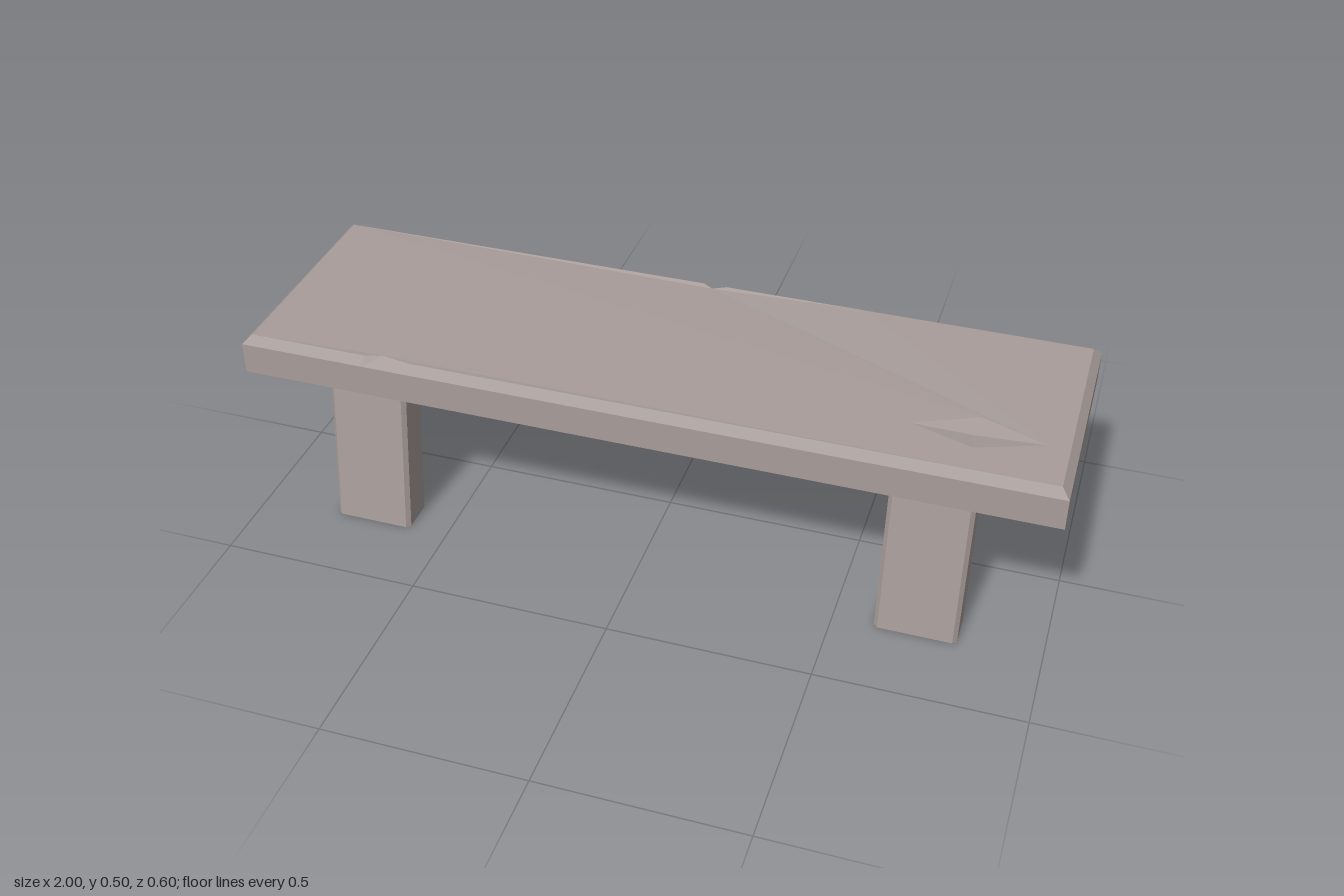
import * as THREE from 'three';

const material = new THREE.MeshStandardMaterial({ color: 0xa89d9a, flatShading: true });

// Flat-shaded geometry from a list of triangle corners
function facets(points) {
  const geometry = new THREE.BufferGeometry().setFromPoints(points);
  geometry.computeVertexNormals();
  return geometry;
}

// Bevelled plank lofted through rings, with chipped edges and a shallow dent
function seatGeometry() {
  const out = [];
  const v = (x, y, z) => new THREE.Vector3(x, y, z);

  // Outline, counter-clockwise from above; the chips need extra stations
  const outline = [
    [-1, 0.3], [-0.68, 0.3], [-0.62, 0.3], [-0.56, 0.3], [1, 0.3],
    [1, -0.3], [0.42, -0.3], [0.38, -0.3], [0.34, -0.3],
    [0.06, -0.3], [0.02, -0.3], [0, -0.3], [-1, -0.3],
  ];
  const ring = (y, inset) => outline.map(([x, z]) =>
    v(Math.abs(x) === 1 ? x * (1 - inset) : x, y, z - Math.sign(z) * inset));
  const rings = [ring(0.4, 0), ring(0.435, 0), ring(0.48, 0), ring(0.5, 0.02)];

  // Chips: front upper edge, back lower edge, back upper edge
  rings[3][2].set(-0.64, 0.498, 0.265);
  rings[0][7].z = -0.27;
  rings[2][10].set(0.02, 0.47, -0.29);
  rings[3][10].set(0.025, 0.495, -0.27);

  // Side bands
  for (let r = 0; r < rings.length - 1; r++) {
    const lower = rings[r], upper = rings[r + 1];
    lower.forEach((a, i) => {
      const j = (i + 1) % lower.length;
      out.push(a, lower[j], upper[j], a, upper[j], upper[i]);
    });
  }

  // Caps, each triangle turned to face up (1) or down (-1)
  const cap = (edge, hole, facing) => {
    const flat = (list) => list.map((p) => new THREE.Vector2(p.x, p.z));
    const all = [...edge, ...hole];
    const faces = THREE.ShapeUtils.triangulateShape(flat(edge), hole.length ? [flat(hole)] : []);
    for (const face of faces) {
      const [a, b, c] = face.map((i) => all[i]);
      const up = (b.z - a.z) * (c.x - a.x) - (b.x - a.x) * (c.z - a.z);
      if (up * facing > 0) out.push(a, b, c);
      else out.push(a, c, b);
    }
  };
  const dent = [[0.62, 0.15], [0.77, 0.2], [0.93, 0.14], [0.77, 0.08]]
    .map(([x, z]) => v(x, 0.5, z));
  cap(rings[3], dent, 1);
  cap(rings[0], [], -1);

  // Dent floor
  const low = v(0.76, 0.49, 0.14);
  dent.forEach((p, i) => out.push(p, dent[(i + 1) % 4], low));
  return facets(out);
}

// Chamfered post, leaning outward towards its foot
function legGeometry() {
  const w = 0.1, d = 0.05, c = 0.01, height = 0.4;
  const section = new THREE.Shape([
    [-w + c, -d], [w - c, -d], [w, -d + c], [w, d - c],
    [w - c, d], [-w + c, d], [-w, d - c], [-w, -d + c],
  ].map(([x, y]) => new THREE.Vector2(x, y)));
  const geometry = new THREE.ExtrudeGeometry(section, { depth: height, bevelEnabled: false });
  geometry.rotateX(-Math.PI / 2);
  const p = geometry.attributes.position;
  for (let i = 0; i < p.count; i++) {
    p.setZ(i, p.getZ(i) + 0.25 - 0.05 * p.getY(i) / height);
  }
  geometry.computeVertexNormals();
  return geometry;
}

export function createModel() {
  const group = new THREE.Group();
  group.name = 'bench';

  const seat = new THREE.Mesh(seatGeometry(), material);
  seat.name = 'seat';
  group.add(seat);

  // Four legs; the back pair is turned half round
  const leg = legGeometry();
  for (const [side, x] of [['Left', 0.7], ['Right', -0.7]]) {
    for (const [end, turn] of [['front', 0], ['back', Math.PI]]) {
      const mesh = new THREE.Mesh(leg, material);
      mesh.name = `${end}${side}Leg`;
      mesh.position.x = x;
      mesh.rotation.y = turn;
      group.add(mesh);
    }
  }
  return group;
}
